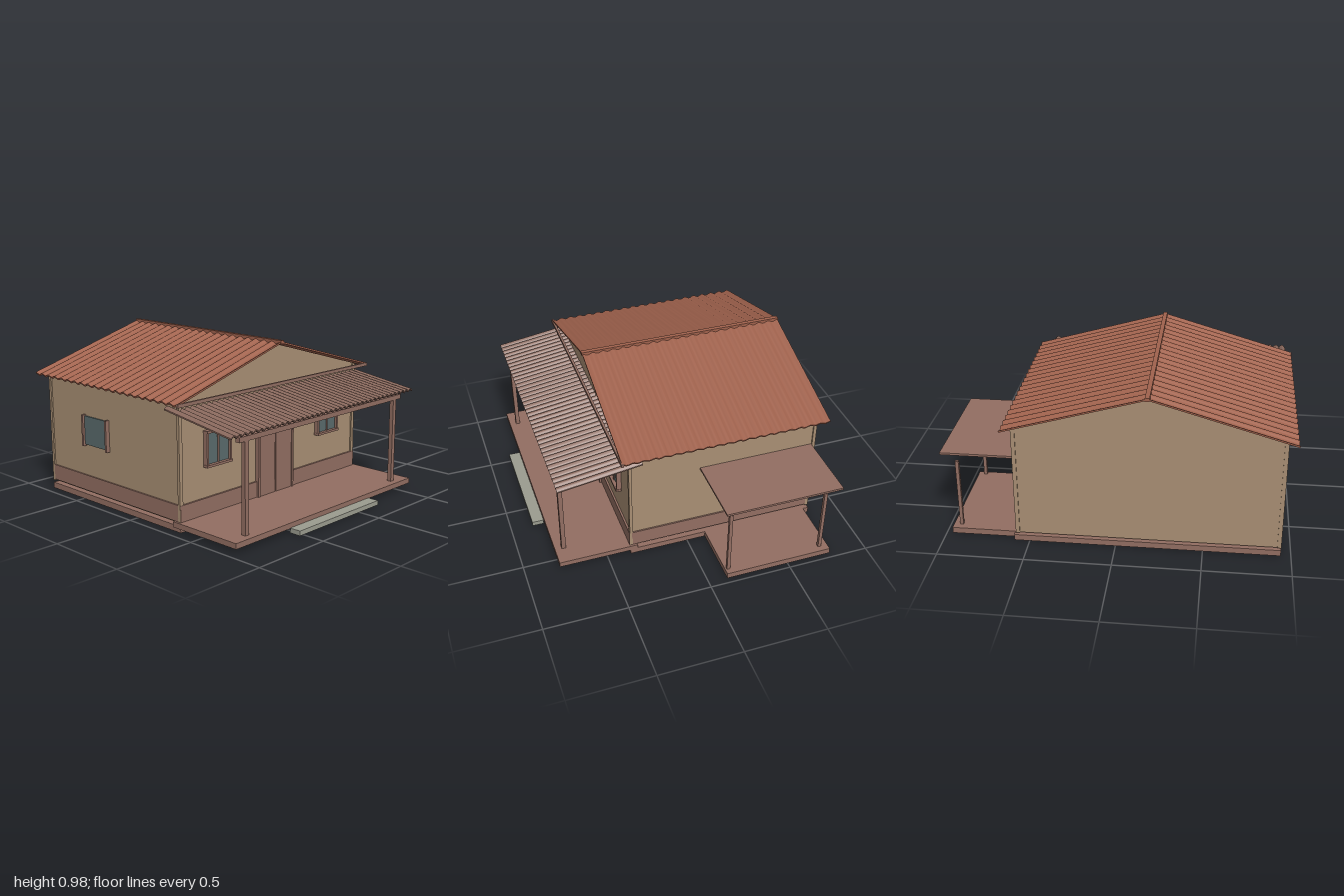
import * as THREE from 'three';
import { toCreasedNormals } from 'three/addons/utils/BufferGeometryUtils.js';

const mat = (name, color) => Object.assign(new THREE.MeshStandardMaterial({ color }), { name });

export function createModel() {
  const wall = mat('ochre plaster', 0xa98f74);
  const trim = mat('brown trim', 0x926e62);
  const tile = mat('red roof tile', 0xa0624d);
  const porchTile = mat('brown porch tile', 0x8a695d);
  const glass = mat('window glass', 0x5a6b6c);
  const stone = mat('grey stone', 0x9b9c8f);

  const model = new THREE.Group();
  model.name = 'house';
  const CX = -0.182; // centre line of the house

  const add = (name, geometry, material, parent = model) => {
    const mesh = new THREE.Mesh(geometry, material);
    mesh.name = name;
    parent.add(mesh);
    return mesh;
  };
  // Box given by its limits on each axis
  const box = (name, material, [x0, x1], [y0, y1], [z0, z1], parent = model) => {
    const mesh = add(name, new THREE.BoxGeometry(x1 - x0, y1 - y0, z1 - z0), material, parent);
    mesh.position.set((x0 + x1) / 2, (y0 + y1) / 2, (z0 + z1) / 2);
    return mesh;
  };
  const group = (name, x = 0, y = 0, z = 0) => {
    const g = new THREE.Group();
    g.name = name;
    g.position.set(x, y, z);
    model.add(g);
    return g;
  };
  // Ribbed sheet: wave profile across x, running along +z and falling by the given drop
  const sheet = (width, run, drop, thick, segments, wave) => {
    const top = [], bottom = [];
    for (let i = 0; i <= segments; i++) {
      const t = i / segments, x = (t - 0.5) * width, h = wave(t);
      top.push(new THREE.Vector2(x, h + thick / 2));
      bottom.unshift(new THREE.Vector2(x, h - thick / 2));
    }
    const geometry = new THREE.ExtrudeGeometry(new THREE.Shape([...bottom, ...top]),
      { depth: Math.hypot(run, drop), bevelEnabled: false });
    geometry.rotateX(Math.atan2(drop, run));
    return toCreasedNormals(geometry, 0.7);
  };

  // Floor slabs and front step
  box('houseSlab', trim, [-0.942, 0.59], [0, 0.036], [-0.81, 0.36]);
  box('carportSlab', trim, [0.59, 0.965], [0, 0.036], [-0.775, -0.115]);
  box('porchSlab', trim, [-0.957, 0.592], [0.028, 0.06], [0.316, 0.797]);
  box('frontStep', stone, [-0.535, 0.17], [0.004, 0.032], [0.797, 0.867]);

  // Walls with gables
  const outline = new THREE.Shape([[-0.752, 0.052], [0.752, 0.052], [0.752, 0.738], [0, 0.953], [-0.752, 0.738]]
    .map(([x, y]) => new THREE.Vector2(x, y)));
  const walls = add('walls', new THREE.ExtrudeGeometry(outline, { depth: 1.155, bevelEnabled: false }), wall);
  walls.position.set(CX, 0, -0.804);
  for (const s of [-1, 1]) {
    const a = CX + s * 0.75, b = a + s * 0.011;
    const xs = [Math.min(a - s * 0.012, b), Math.max(a - s * 0.012, b)];
    box('cornerPost', wall, xs, [0.052, 0.735], [0.342, 0.36]);
    box('cornerPost', wall, xs, [0.052, 0.735], [-0.81, -0.79]);
    box('sidePlinth', trim, [Math.min(a, b), Math.max(a, b)], [0.06, 0.155], [-0.79, 0.348]);
  }
  box('frontPlinth', trim, [-0.942, 0.578], [0.06, 0.155], [0.35, 0.363]);

  // Main roof, ridge cap and front eave beam
  const slope = sheet(1.275, 0.812, 0.235, 0.01, 240, t => 0.0055 * Math.cos(t * 40 * Math.PI));
  for (const s of [-1, 1]) {
    const side = add('roofSlope', slope, tile);
    side.rotation.y = s * Math.PI / 2;
    side.position.set(CX, 0.962, -0.226);
  }
  box('ridgeCap', tile, [CX - 0.013, CX + 0.013], [0.958, 0.979], [-0.868, 0.416]);
  box('eaveBeam', trim, [-0.998, 0.634], [0.718, 0.738], [0.402, 0.416]);

  // Porch roof, beam and posts
  const porch = group('porch');
  const ribs = 39;
  const porchRoof = add('porchRoof', sheet(1.583, 0.5, 0.073, 0.008, ribs * 8,
    t => 0.014 * Math.abs(Math.sin(t * ribs * Math.PI)) - 0.007), porchTile, porch);
  porchRoof.position.set(-0.184, 0.694, 0.284);
  box('porchBeam', trim, [-0.89, 0.522], [0.574, 0.602], [0.729, 0.757], porch);
  for (const x of [-0.832, 0.466]) {
    box('porchPost', trim, [x - 0.014, x + 0.014], [0.06, 0.602], [0.73, 0.756], porch);
  }

  // Double door
  const door = group('door', CX, 0, 0.35);
  for (const s of [-1, 1]) {
    const span = (a, b) => [Math.min(s * a, s * b), Math.max(s * a, s * b)];
    box('doorLeaf', trim, span(0.004, 0.14), [0.06, 0.522], [0, 0.019], door);
    box('doorJamb', trim, span(0.14, 0.154), [0.06, 0.522], [0, 0.026], door);
  }
  box('doorLintel', trim, [-0.166, 0.166], [0.52, 0.536], [0, 0.034], door);

  // Front windows
  for (const x of [-0.658, 0.294]) {
    const w = group('frontWindow', x, 0, 0.35);
    box('windowPane', glass, [-0.084, 0.084], [0.348, 0.528], [0.008, 0.016], w);
    for (const s of [-1, 1]) {
      box('windowJamb', trim, [s * 0.09 - 0.007, s * 0.09 + 0.007], [0.335, 0.54], [0, 0.03], w);
    }
    box('windowMullion', trim, [-0.005, 0.005], [0.348, 0.528], [0, 0.022], w);
    box('windowHead', trim, [-0.1, 0.1], [0.528, 0.542], [0, 0.036], w);
    box('windowSill', trim, [-0.1, 0.1], [0.333, 0.347], [0, 0.036], w);
  }

  // Side windows
  for (const s of [-1, 1]) {
    const w = group('sideWindow', CX + s * 0.752, 0, -0.362);
    w.rotation.y = s * Math.PI / 2;
    box('windowPane', glass, [-0.104, 0.104], [0.348, 0.522], [0.004, 0.012], w);
    for (const d of [-1, 1]) {
      box('windowJamb', trim, [d * 0.108 - 0.007, d * 0.108 + 0.007], [0.338, 0.528], [0, 0.025], w);
    }
  }

  // Carport roof and posts
  box('carportRoof', trim, [0.572, 0.998], [0.527, 0.54], [-0.787, -0.077]);
  for (const z of [-0.135, -0.723]) {
    box('carportPost', trim, [0.91, 0.93], [0.036, 0.457], [z - 0.01, z + 0.01]);
  }

  return model;
}
